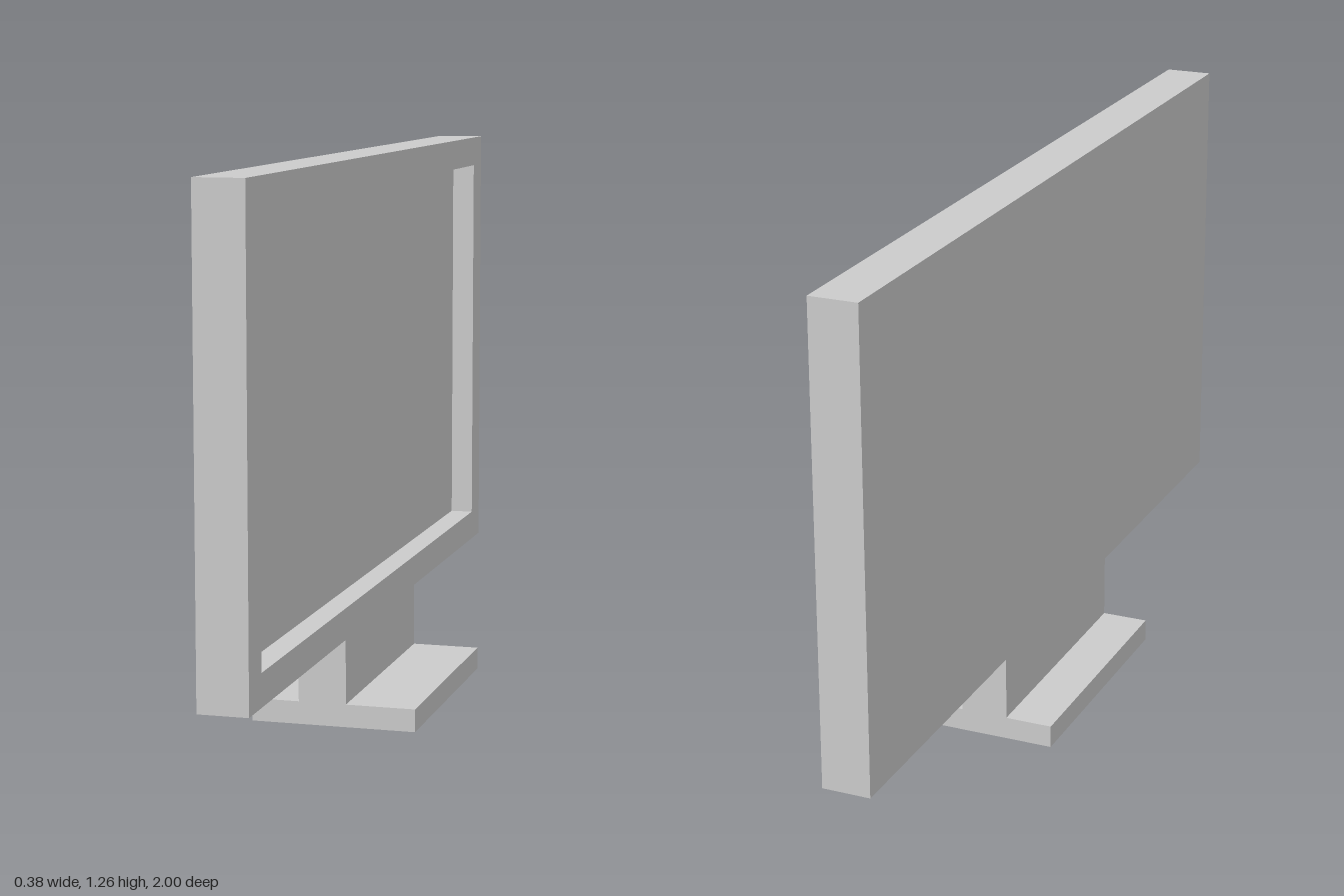
import * as THREE from 'three';

const material = new THREE.MeshStandardMaterial({ color: 0xcccccc, flatShading: true });

// Box given by its min and max corners
function box(name, [x0, y0, z0], [x1, y1, z1]) {
  const geometry = new THREE.BoxGeometry(x1 - x0, y1 - y0, z1 - z0);
  geometry.translate((x0 + x1) / 2, (y0 + y1) / 2, (z0 + z1) / 2);
  const mesh = new THREE.Mesh(geometry, material);
  mesh.name = name;
  return mesh;
}

// Traces a rectangle, symmetric about the vertical axis
function rectangle(path, halfWidth, bottom, top) {
  path.moveTo(-halfWidth, bottom);
  path.lineTo(halfWidth, bottom);
  path.lineTo(halfWidth, top);
  path.lineTo(-halfWidth, top);
  path.closePath();
  return path;
}

export function createModel() {
  const model = new THREE.Group();
  model.name = 'monitor';

  const back = -0.08, screen = -0.025, front = 0.03; // x of the display's layers
  const bottom = 0.2, top = 1.265;
  const standHalf = 0.305;

  // Bezel around the recessed screen, facing +x
  const outline = rectangle(new THREE.Shape(), 1, bottom, top);
  outline.holes.push(rectangle(new THREE.Path(), 0.918, 0.272, 1.193));
  const bezelGeometry = new THREE.ExtrudeGeometry(outline, { depth: front - screen, bevelEnabled: false });
  bezelGeometry.rotateY(Math.PI / 2);
  bezelGeometry.translate(screen, 0, 0);
  const bezel = new THREE.Mesh(bezelGeometry, material);
  bezel.name = 'bezel';
  model.add(bezel);

  // Screen panel with the plain back
  model.add(box('screenPanel', [back, bottom, -1], [screen, top, 1]));

  // Stand
  model.add(box('standNeck', [back, 0.052, -standHalf], [front, bottom, standHalf]));
  model.add(box('standBase', [-0.19, 0, -standHalf], [0.19, 0.052, standHalf]));

  return model;
}
